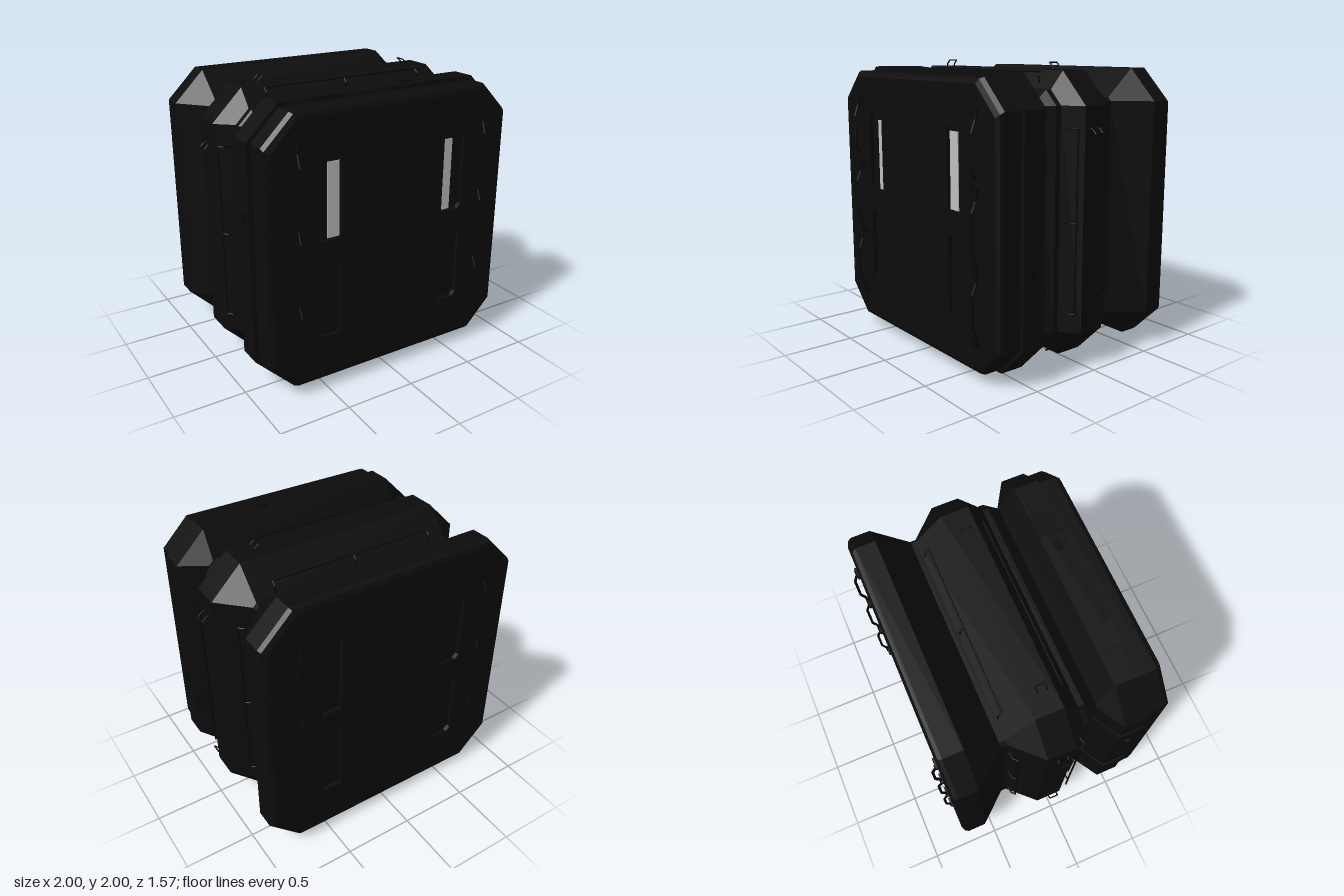
import * as THREE from 'three';
import { mergeGeometries } from 'three/addons/utils/BufferGeometryUtils.js';

const hullMat = new THREE.MeshStandardMaterial({ color: 0x0c0c0c, flatShading: true });
hullMat.name = 'hull black';
const railMat = new THREE.MeshStandardMaterial({ color: 0x060606 });
railMat.name = 'rail black';
const glassMat = new THREE.MeshStandardMaterial({ color: 0xc0c0c0 });
glassMat.name = 'window grey';

// [z, half size, half length of the straight sides]
const PROFILE = [
  [-0.735, 0.91, 0.71], [-0.72, 0.94, 0.73], [-0.695, 0.953, 0.74], [-0.56, 0.953, 0.74],
  [-0.34, 0.765, 0.74], [-0.3, 0.765, 0.74], [-0.11, 0.95, 0.74], [0.08, 0.95, 0.74],
  [0.18, 0.835, 0.74], [0.22, 0.835, 0.74], [0.3, 0.77, 0.74], [0.41, 0.953, 0.74],
  [0.575, 0.953, 0.74], [0.577, 0.925, 0.735], [0.7, 0.925, 0.735], [0.727, 0.915, 0.72], [0.74, 0.885, 0.7],
];

const octagon = (h, a) => [[h, -a], [h, a], [a, h], [-a, h], [-h, a], [-h, -a], [-a, -h], [a, -h]];

function mesh(name, geometry, material, parent) {
  const m = new THREE.Mesh(geometry, material);
  m.name = name;
  parent.add(m);
  return m;
}

function box(name, size, pos, material, parent) {
  const m = mesh(name, new THREE.BoxGeometry(...size), material, parent);
  m.position.set(...pos);
  return m;
}

// Hull skin through the octagonal cross-sections
function hullGeometry() {
  const pos = [], index = [];
  PROFILE.forEach(([z, h, a], k) => {
    octagon(h, a).forEach(([x, y]) => pos.push(x, y, z));
    if (!k) return;
    for (let i = 0; i < 8; i++) {
      const j = (i + 1) % 8, lo = (k - 1) * 8, hi = k * 8;
      index.push(lo + i, lo + j, hi + j, lo + i, hi + j, hi + i);
    }
  });
  const g = new THREE.BufferGeometry();
  g.setAttribute('position', new THREE.Float32BufferAttribute(pos, 3));
  g.setIndex(index);
  const flat = g.toNonIndexed();
  flat.computeVertexNormals();
  return flat;
}

// Bent rod made of straight pieces with round joints
function rodGeometry(points, r) {
  const parts = [], up = new THREE.Vector3(0, 1, 0);
  const v = points.map((p) => new THREE.Vector3(...p));
  for (let i = 1; i < v.length; i++) {
    const d = v[i].clone().sub(v[i - 1]);
    const c = new THREE.CylinderGeometry(r, r, d.length(), 8);
    c.applyQuaternion(new THREE.Quaternion().setFromUnitVectors(up, d.clone().normalize()));
    c.translate(...v[i].clone().add(v[i - 1]).multiplyScalar(0.5).toArray());
    parts.push(c);
    if (i < v.length - 1) parts.push(new THREE.SphereGeometry(r, 8, 6).translate(...v[i].toArray()));
  }
  return mergeGeometries(parts);
}

// End wall with four sunken panels, built facing +z
function endWall(h, a, name) {
  const g = new THREE.Group();
  g.name = name;
  const shape = new THREE.Shape(octagon(h, a).map(([x, y]) => new THREE.Vector2(x, y)));
  for (const s of [-1, 1]) for (const [y0, y1] of [[-0.6, -0.08], [0.08, 0.62]]) {
    const x0 = s * 0.4, x1 = s * 0.57, c = s * 0.03;
    shape.holes.push(new THREE.Path([
      [x0, y0], [x1 - c, y0], [x1, y0 + 0.03], [x1, y1 - 0.03], [x1 - c, y1], [x0, y1],
    ].map((p) => new THREE.Vector2(...p))));
    box('panelFloor', [0.19, y1 - y0 + 0.02, 0.01], [s * 0.485, (y0 + y1) / 2, -0.035], hullMat, g);
  }
  const wall = new THREE.ExtrudeGeometry(shape, { depth: 0.04, bevelEnabled: false });
  mesh('wall', wall.translate(0, 0, -0.04), hullMat, g);

  // Zigzag grab rails with their brackets
  const near = 0.012, far = 0.04;
  const path = [[-0.74, near], [-0.68, near], [-0.6, far], [-0.39, far], [-0.32, near], [-0.19, near], [-0.12, far]];
  const zig = [...path, ...path.map(([y, z]) => [-y, z]).reverse()];
  for (const s of [-1, 1]) {
    mesh('grabRail', rodGeometry(zig.map(([y, z]) => [s * 0.71, y, z]), 0.009), railMat, g);
    for (const y of [-0.72, -0.25, 0.25, 0.72])
      box('railFoot', [0.07, 0.04, 0.016], [s * 0.695, y, 0.006], railMat, g);
  }
  return g;
}

// Fittings on one of the four sides, built on the top
function sideFittings() {
  const g = new THREE.Group();
  g.name = 'sideFittings';
  const hooks = [
    [[0.87, 0.155], [0.915, 0.16], [0.94, 0.13]],
    [[0.785, -0.29], [0.83, -0.285], [0.855, -0.26]],
  ];
  for (const hook of hooks) {
    const half = hook.map(([y, z]) => [-0.6, y, z]);
    const other = hook.map(([y, z]) => [0.6, y, z]).reverse();
    mesh('handrail', rodGeometry([...half, ...other], 0.006), railMat, g);
    mesh('handrailPost', rodGeometry(hook.map(([y, z]) => [0, y, z]), 0.006), railMat, g);
  }
  // Wrap-over cover plate following the front block
  const plate = new THREE.Shape([
    [-0.295, 0.767], [-0.408, 0.958], [-0.58, 0.958], [-0.58, 0.94], [-0.42, 0.94], [-0.31, 0.76],
  ].map((p) => new THREE.Vector2(...p)));
  for (const s of [-1, 1]) {
    const cover = new THREE.ExtrudeGeometry(plate, { depth: 0.17, bevelEnabled: false });
    cover.rotateY(Math.PI / 2).translate(s * 0.43 - 0.085, 0, 0);
    mesh('coverPlate', cover, hullMat, g);
    // Small tie-down loops
    const loop = [[0.6, 0.945], [0.592, 0.97], [0.565, 0.995]];
    const pts = [
      ...loop.map(([x, y]) => [s * x, y, -0.032]),
      ...loop.map(([x, y]) => [s * x, y, 0.032]).reverse(),
    ];
    mesh('tieLoop', rodGeometry(pts, 0.005), railMat, g);
  }
  box('latch', [0.06, 0.012, 0.04], [0.25, 0.956, 0.5], railMat, g);
  return g;
}

export function createModel() {
  const root = new THREE.Group();
  root.name = 'stationModule';
  const body = new THREE.Group();
  body.name = 'body';
  body.position.y = 1;
  root.add(body);

  mesh('hull', hullGeometry(), hullMat, body);

  const front = endWall(0.885, 0.7, 'frontWall');
  front.position.z = 0.74;
  // Light window strips in the upper front panels
  for (const s of [-1, 1]) box('window', [0.085, 0.5, 0.006], [s * 0.4435, 0.335, -0.027], glassMat, front);
  const back = endWall(0.91, 0.71, 'backWall');
  back.rotation.y = Math.PI;
  back.position.z = -0.735;
  body.add(front, back);

  for (let q = 0; q < 4; q++) {
    const side = sideFittings();
    side.rotation.z = (q * Math.PI) / 2;
    body.add(side);
  }
  return root;
}
